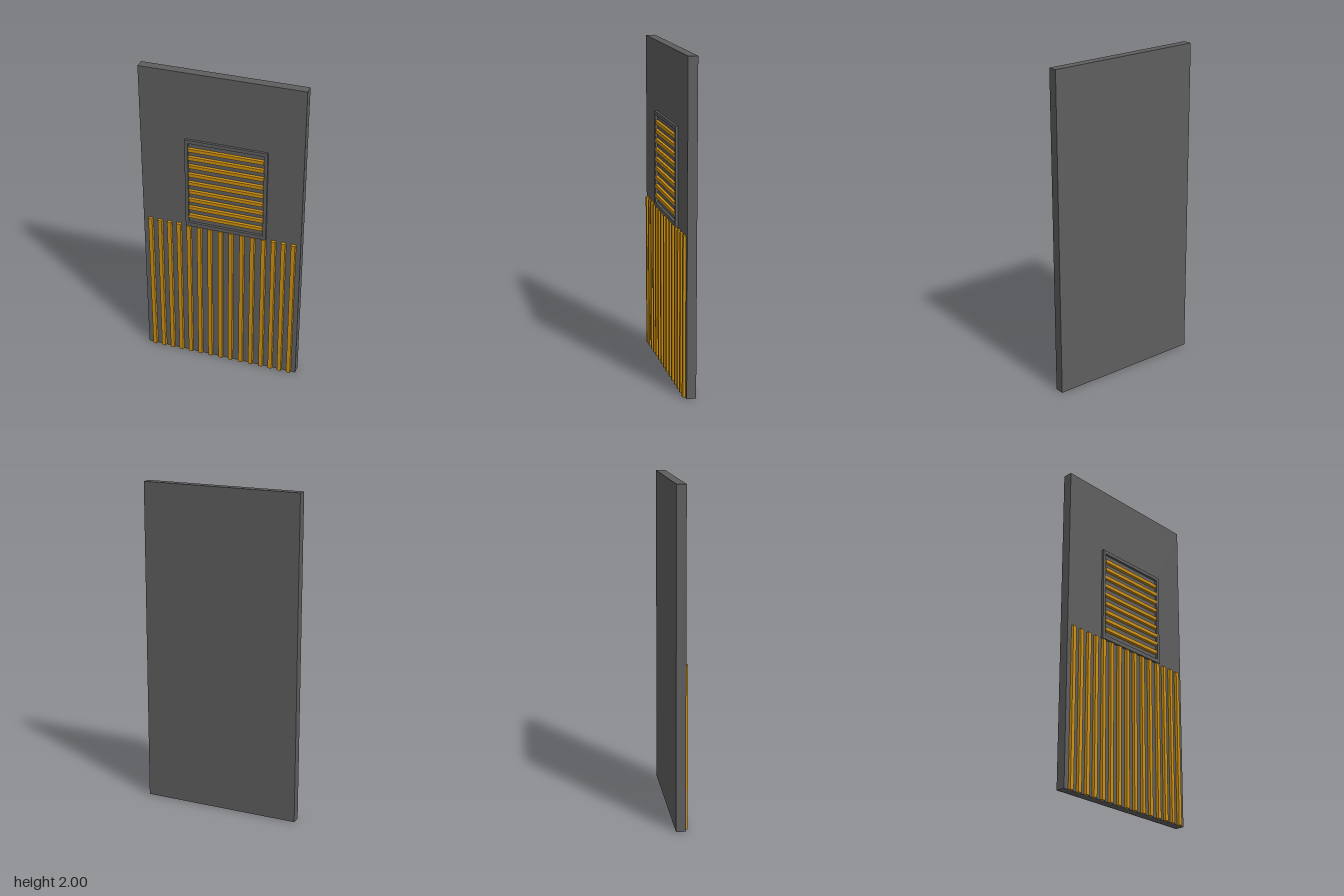
import * as THREE from 'three';

const FACE = 0.02;   // front plane of the panel
const RAISED = 0.035; // front plane of the trim

// Box with its front edges drawn in; the low end can stay square
function strip(x0, x1, y0, y1, inset, squareBottom) {
  const geo = new THREE.BoxGeometry(x1 - x0, y1 - y0, RAISED - FACE).toNonIndexed();
  const p = geo.attributes.position;
  for (let i = 0; i < p.count; i++) {
    if (p.getZ(i) < 0) continue;
    p.setX(i, p.getX(i) - Math.sign(p.getX(i)) * inset);
    if (p.getY(i) > 0 || !squareBottom) p.setY(i, p.getY(i) - Math.sign(p.getY(i)) * inset);
  }
  geo.computeVertexNormals();
  geo.translate((x0 + x1) / 2, (y0 + y1) / 2, (FACE + RAISED) / 2);
  return geo;
}

function rectangle(target, x0, x1, y0, y1) {
  return target.moveTo(x0, y0).lineTo(x1, y0).lineTo(x1, y1).lineTo(x0, y1).closePath();
}

export function createModel() {
  const model = new THREE.Group();
  model.name = 'doorPanel';
  const grey = new THREE.MeshStandardMaterial({ color: 0x5e5e5e });
  grey.name = 'dark grey';
  const amber = new THREE.MeshStandardMaterial({ color: 0xcc8f10 });
  amber.name = 'amber';

  function add(name, geometry, material, parent = model) {
    const mesh = new THREE.Mesh(geometry, material);
    mesh.name = name;
    parent.add(mesh);
    return mesh;
  }

  // Flat slab
  add('panel', new THREE.BoxGeometry(0.992, 2, 0.057), grey).position.set(-0.001, 1, -0.0085);

  // Raised rectangular frame
  const outline = rectangle(new THREE.Shape(), -0.22, 0.283, 0.985, 1.578);
  outline.holes.push(rectangle(new THREE.Path(), -0.2, 0.263, 1.01, 1.556));
  const frame = new THREE.ExtrudeGeometry(outline, { depth: RAISED - FACE, bevelEnabled: false });
  frame.translate(0, 0, FACE);
  add('ventFrame', frame, grey);

  // Horizontal slats inside the frame
  const slats = new THREE.Group();
  slats.name = 'ventSlats';
  model.add(slats);
  for (const y of [1.055, 1.113, 1.168, 1.225, 1.284, 1.342, 1.4, 1.456, 1.511]) {
    add('slat', strip(-0.2, 0.263, y - 0.014, y + 0.014, 0.003, false), amber, slats);
  }

  // Vertical ribs on the lower half
  const ribs = new THREE.Group();
  ribs.name = 'lowerRibs';
  model.add(ribs);
  for (const x of [-0.451, -0.39, -0.329, -0.268, -0.204, -0.138, -0.071, -0.003,
    0.063, 0.132, 0.198, 0.267, 0.329, 0.39, 0.451]) {
    add('rib', strip(x - 0.015, x + 0.015, 0, 0.984, 0.003, true), amber, ribs);
  }
  return model;
}
